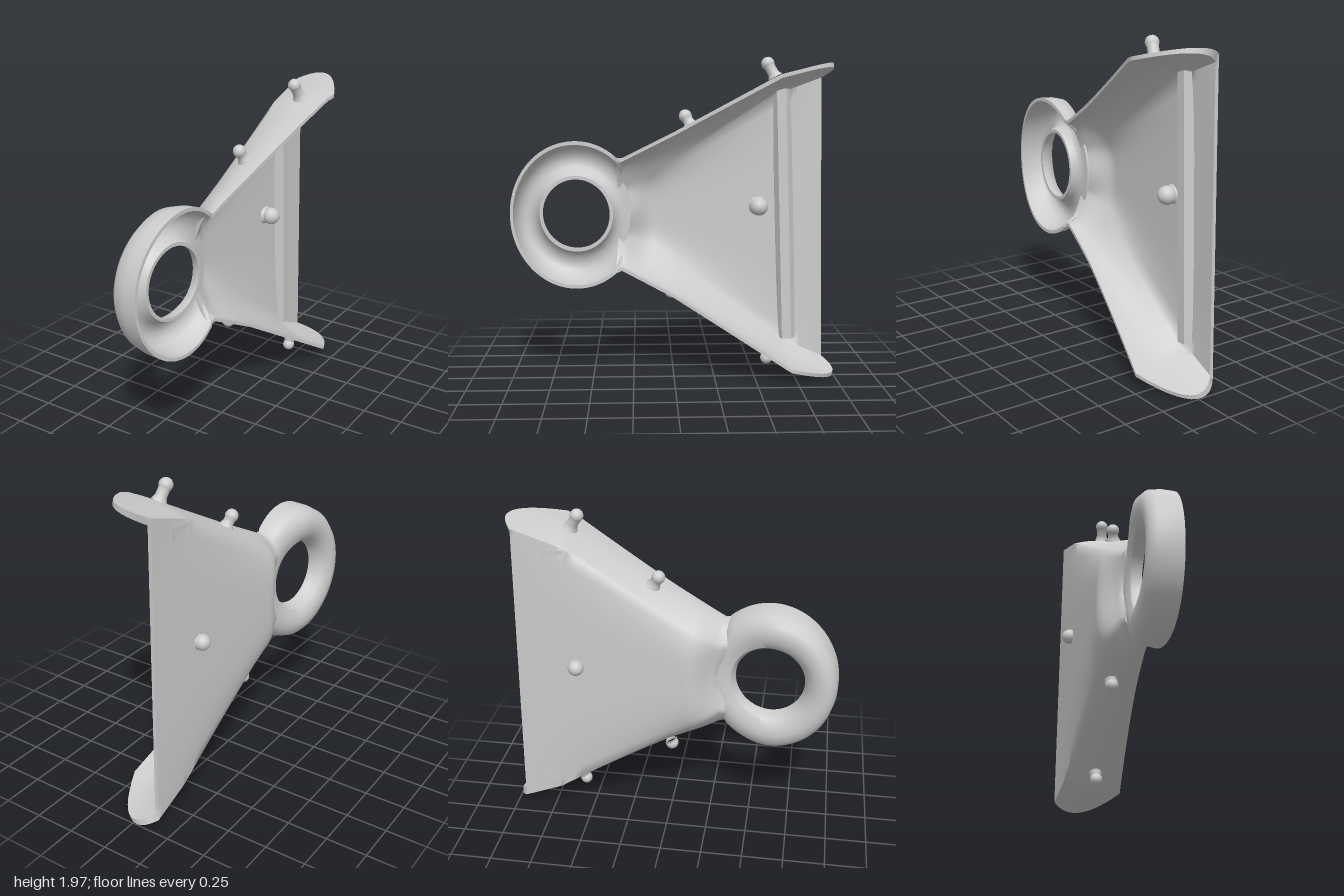
import * as THREE from 'three';
import { toCreasedNormals } from 'three/addons/utils/BufferGeometryUtils.js';

const { lerp, smoothstep } = THREE.MathUtils;

// Piecewise-linear lookup through [z, value] pairs with falling z
function along(pairs, z) {
  let i = 0;
  while (i < pairs.length - 2 && z < pairs[i + 1][0]) i++;
  const [z0, v0] = pairs[i], [z1, v1] = pairs[i + 1];
  return v0 + (v1 - v0) * (z - z0) / (z1 - z0);
}

const TOP = [[0.4, 1.39], [0.33, 1.352], [0, 1.52], [-0.62, 1.86], [-0.97, 1.95]];
const BOTTOM = [[0.4, 0.63], [0.32, 0.668], [0, 0.505], [-0.7, 0.075], [-1, -0.025]];
const WALL = 12, FLOOR = 18, SECTIONS = 44, THICK = 0.022;

const floorX = (z) => -0.24 + 0.086 * (0.15 - z) + 0.115 * smoothstep(z, 0.12, 0.31);

// One U-shaped section: a closed loop, outer skin down then inner skin back up
function section(t) {
  const outer = [], inner = [];
  const zFloor = lerp(0.285, -0.92, t), zRim = lerp(0.37, -0.68, t);
  const neck = 0.06 * Math.pow(1 - t, 6);
  const rimX = 0.24 * Math.pow(t, 1.25);
  const bow = 0.045 * (1 - t * t) * smoothstep(t, 0, 0.15);
  const inset = 0.05 + 0.085 * (1 - t);
  const fillet = 0.02 + 0.05 * (1 - t);
  const wall = (s, low) => {
    const lean = (low ? -0.025 : 0.01) * t;
    const z = lerp(zFloor + neck, zRim, s * s) - 0.36 * Math.pow(t, 4) * s * (1 - s) + lean;
    const edge = along(low ? BOTTOM : TOP, z), sign = low ? 1 : -1;
    const x = lerp(floorX(zFloor) + bow, low ? rimX - 0.025 * t : rimX, s);
    const curl = (1 - s) * (1 - s);
    const y = edge + sign * inset * curl;
    outer.push([x, y, z]);
    inner.push([x + THICK * (1 - s), y + sign * (THICK + fillet * curl), z]);
  };
  for (let i = 0; i <= WALL; i++) wall(1 - i / WALL, false);
  const topY = outer[WALL][1], topIn = inner[WALL][1];
  const lowY = along(BOTTOM, zFloor + neck - 0.025 * t) + inset;
  for (let i = 1; i < FLOOR; i++) {
    const c = i / FLOOR, side = (2 * c - 1) ** 2;
    const z = zFloor + neck * side + lerp(0.01, -0.025, c) * t;
    const x = floorX(zFloor) + bow * side * side;
    outer.push([x, lerp(topY, lowY, c), z]);
    inner.push([x + THICK, lerp(topIn, lowY + THICK + fillet, c), z]);
  }
  for (let i = 0; i <= WALL; i++) wall(i / WALL, true);
  return outer.concat(inner.reverse());
}

// Flared bracket: loft of U sections with both ends capped
function bracketGeometry() {
  const pos = [], idx = [];
  let n = 0;
  for (let i = 0; i <= SECTIONS; i++) {
    const loop = section(i / SECTIONS);
    n = loop.length;
    loop.forEach((p) => pos.push(...p));
  }
  const quad = (a, b, c, d) => idx.push(a, b, c, a, c, d);
  for (let i = 0; i < SECTIONS; i++) {
    for (let j = 0; j < n; j++) {
      const k = (j + 1) % n, r = i * n, q = r + n;
      quad(r + j, q + j, q + k, r + k);
    }
  }
  const e = SECTIONS * n;
  for (let j = 0; j < n / 2 - 1; j++) {
    quad(j, j + 1, n - 2 - j, n - 1 - j);
    quad(e + j, e + n - 1 - j, e + n - 2 - j, e + j + 1);
  }
  const g = new THREE.BufferGeometry();
  g.setAttribute('position', new THREE.Float32BufferAttribute(pos, 3));
  g.setIndex(idx);
  return toCreasedNormals(g, 1.1);
}

// Channelled ring: turned profile (radius, height 0 rim to -1 floor), outer wall opened at the neck
function ringGeometry() {
  const profile = [
    [0.213, -0.42], [0.216, -0.6], [0.24, -0.85], [0.29, -0.97], [0.34, -1], [0.39, -0.94], [0.43, -0.75],
    [0.448, -0.4], [0.452, 0], [0.43, 0], [0.422, -0.4], [0.4, -0.66], [0.365, -0.81], [0.33, -0.86],
    [0.29, -0.83], [0.255, -0.7], [0.235, -0.42], [0.213, -0.42],
  ].map(([r, h]) => new THREE.Vector2(r, h));
  const g = new THREE.LatheGeometry(profile, 96);
  g.rotateZ(-Math.PI / 2);
  const p = g.attributes.position;
  for (let i = 0; i < p.count; i++) {
    let h = p.getX(i), y = p.getY(i), z = p.getZ(i);
    const r = Math.hypot(y, z);
    const open = smoothstep(Math.atan2(Math.abs(y), -z), 0.55, 0.92);
    if (r > 0.3) {
      h = Math.min(h, lerp(-0.86, 0, open));
      const f = lerp(Math.min(r, 0.375), r, Math.sqrt(open)) / r;
      y *= f;
      z *= f;
    }
    z = 0.6 + z * lerp(0.97, 0.89, smoothstep(r, 0.22, 0.45));
    const depth = 0.135 + 0.068 * smoothstep(z, 0.28, 0.66);
    const rim = 0.008 - 0.055 * Math.max(0, (z - 0.4) / 0.6) ** 2;
    p.setXYZ(i, rim + h * depth, 1.01 + y, z);
  }
  return toCreasedNormals(g, 0.7);
}

// Ball-ended pin with a flared foot
function pinGeometry(length, R) {
  const pts = [[R * 1.15, -0.01], [R * 0.95, 0.006], [R * 0.82, 0.02]];
  for (let i = 0; i <= 8; i++) {
    const a = lerp(-0.6, Math.PI / 2, i / 8);
    pts.push([Math.max(R * Math.cos(a), 0), length - R + R * Math.sin(a)]);
  }
  return new THREE.LatheGeometry(pts.map(([x, y]) => new THREE.Vector2(x, y)), 20);
}

export function createModel() {
  const model = new THREE.Group();
  const grey = new THREE.MeshStandardMaterial({ color: 0xcccccc });
  grey.name = 'light grey';
  const add = (name, geometry) => {
    const mesh = new THREE.Mesh(geometry, grey);
    mesh.name = name;
    model.add(mesh);
    return mesh;
  };

  add('flaredBracket', bracketGeometry());
  add('channelRing', ringGeometry());

  // Tapered stiffening rib across the floor
  const rib = new THREE.BoxGeometry(0.06, 1.57, 0.13);
  const p = rib.attributes.position;
  for (let i = 0; i < p.count; i++) {
    if (p.getX(i) > 0) p.setZ(i, p.getZ(i) * 0.45 + 0.01);
  }
  rib.computeVertexNormals();
  const ribMesh = add('stiffeningRib', rib);
  ribMesh.position.set(-0.127, 0.99, -0.7);
  ribMesh.rotation.x = 0.035;

  // Pins: name, foot, direction, length, ball radius
  const pins = [
    ['topRearPin', [0.035, 1.85, -0.6], [-0.02, 0.11, 0.06], 0.125, 0.04],
    ['topFrontPin', [-0.055, 1.56, -0.1], [-0.02, 0.07, 0.04], 0.1, 0.04],
    ['bottomFrontPin', [-0.1, 0.535, 0.005], [0, -0.07, 0.03], 0.062, 0.04],
    ['bottomRearPin', [0.01, 0.15, -0.59], [0, -0.07, 0.03], 0.077, 0.038],
    ['innerFloorPin', [-0.158, 1.045, -0.535], [1, 0, 0], 0.095, 0.056],
    ['outerFloorPin', [-0.175, 1.045, -0.555], [-1, 0, 0], 0.068, 0.048],
  ];
  const up = new THREE.Vector3(0, 1, 0);
  for (const [name, foot, dir, length, radius] of pins) {
    const pin = add(name, pinGeometry(length, radius));
    pin.position.set(...foot);
    pin.quaternion.setFromUnitVectors(up, new THREE.Vector3(...dir).normalize());
  }
  return model;
}
